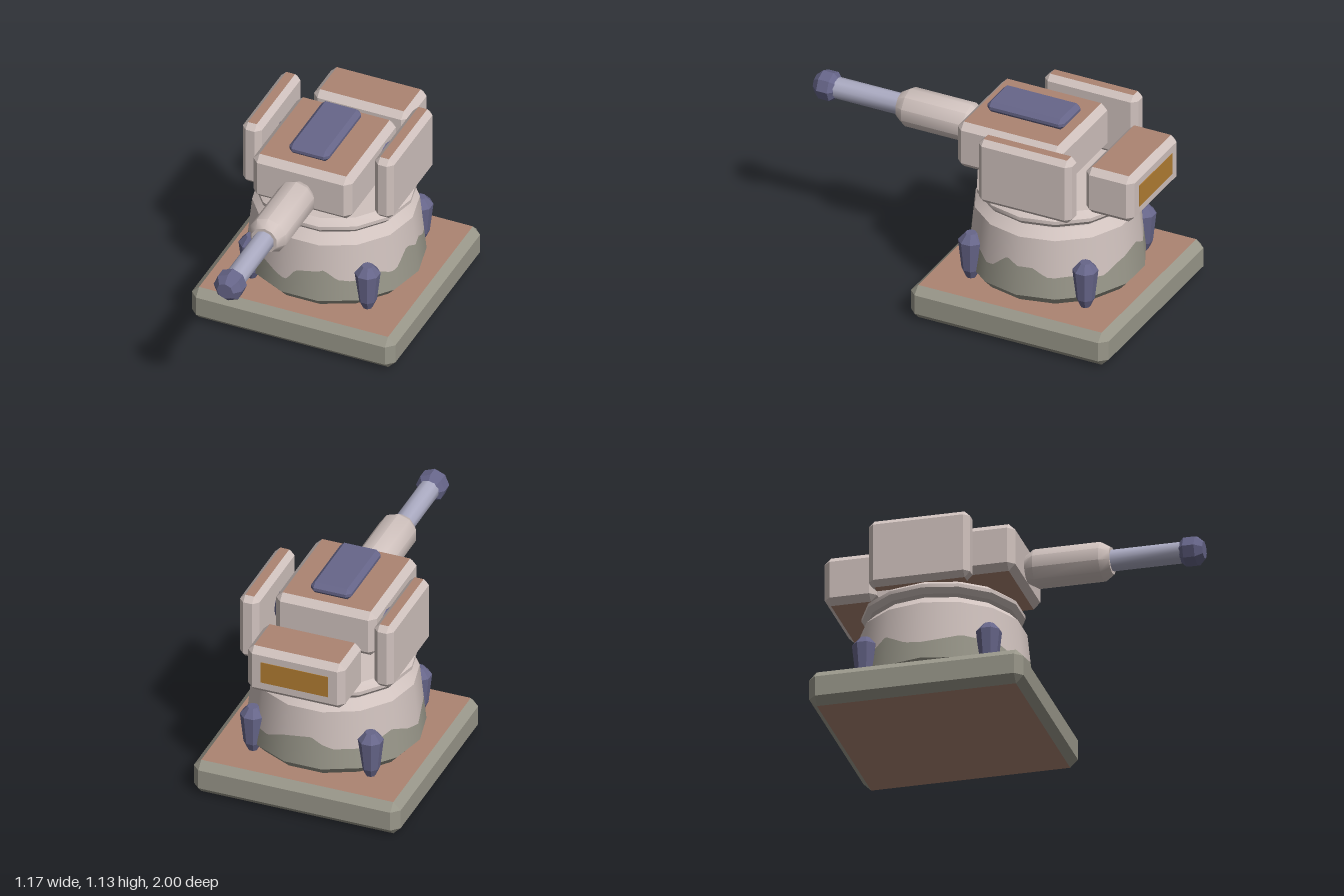
import * as THREE from 'three';
import { toCreasedNormals } from 'three/addons/utils/BufferGeometryUtils.js';
import { ConvexGeometry } from 'three/addons/geometries/ConvexGeometry.js';

const mat = (name, color, side = THREE.FrontSide) => {
  const m = new THREE.MeshStandardMaterial({ color, side });
  m.name = name;
  return m;
};

// Box with all edges chamfered; group 0 is the shell, group 1 the flat top and bottom
function chamferBox(w, h, d, c) {
  const pts = [];
  for (const sx of [-1, 1]) for (const sy of [-1, 1]) for (const sz of [-1, 1]) {
    for (let axis = 0; axis < 3; axis++) {
      const inset = [0, 1, 2].map((k) => (k === axis ? 0 : c));
      pts.push(new THREE.Vector3(
        sx * (w / 2 - inset[0]), sy * (h / 2 - inset[1]), sz * (d / 2 - inset[2])));
    }
  }
  const src = new ConvexGeometry(pts);
  const pos = src.attributes.position, nor = src.attributes.normal;
  const sets = [[], []];
  for (let i = 0; i < pos.count; i += 3) {
    const set = sets[Math.abs(nor.getY(i)) > 0.99 ? 1 : 0];
    for (let j = i; j < i + 3; j++) set.push(pos.getX(j), pos.getY(j), pos.getZ(j));
  }
  const geo = new THREE.BufferGeometry();
  geo.setAttribute('position', new THREE.Float32BufferAttribute([...sets[0], ...sets[1]], 3));
  geo.addGroup(0, sets[0].length / 3, 0);
  geo.addGroup(sets[0].length / 3, sets[1].length / 3, 1);
  geo.computeVertexNormals();
  return geo;
}

// Turned part from [radius, height] pairs
function turned(profile, sides, crease, phase = 0) {
  const pts = profile.map(([r, y]) => new THREE.Vector2(r, y));
  return toCreasedNormals(new THREE.LatheGeometry(pts, sides, phase), crease);
}

// Height of the grime edge round the drum: [degrees from front, y]
const GRIME = [[-90, 0.34], [-62, 0.38], [-33, 0.37], [-19, 0.335], [-10, 0.33], [-4, 0.395],
  [6, 0.41], [16, 0.43], [25, 0.37], [35, 0.36], [48, 0.40], [62, 0.36], [69, 0.36], [81, 0.44],
  [90, 0.41], [100, 0.41], [110, 0.365], [125, 0.37], [150, 0.34], [166, 0.40], [185, 0.42],
  [200, 0.36], [225, 0.36], [243, 0.42], [258, 0.36], [270, 0.34]];
function grimeHeight(theta) {
  let deg = THREE.MathUtils.radToDeg(theta);
  deg = THREE.MathUtils.euclideanModulo(deg + 90, 360) - 90;
  let i = 0;
  while (i < GRIME.length - 2 && GRIME[i + 1][0] < deg) i++;
  const [a, ya] = GRIME[i], [b, yb] = GRIME[i + 1];
  return THREE.MathUtils.lerp(ya, yb, (deg - a) / (b - a));
}

const SIDES = 14;
// Smooth band of a 14-sided drum between two [radius, y] rings, each given per angle
function drumBand(lower, upper) {
  const cols = SIDES * 10, step = (Math.PI * 2) / SIDES;
  const pos = [], nor = [], idx = [];
  for (let i = 0; i <= cols; i++) {
    const t = Math.PI / 2 + (i / cols) * Math.PI * 2;
    const local = ((i % 10) / 10) * step - step / 2;
    const flat = Math.cos(step / 2) / Math.cos(local);
    const [r0, y0] = lower(t), [r1, y1] = upper(t);
    const n = new THREE.Vector3(Math.sin(t) * (y1 - y0), r0 - r1, Math.cos(t) * (y1 - y0)).normalize();
    for (const [r, y] of [[r0, y0], [r1, y1]]) {
      pos.push(Math.sin(t) * r * flat, y, Math.cos(t) * r * flat);
      nor.push(n.x, n.y, n.z);
    }
    if (i < cols) {
      const a = i * 2;
      idx.push(a, a + 2, a + 1, a + 1, a + 2, a + 3);
    }
  }
  const geo = new THREE.BufferGeometry();
  geo.setAttribute('position', new THREE.Float32BufferAttribute(pos, 3));
  geo.setAttribute('normal', new THREE.Float32BufferAttribute(nor, 3));
  geo.setIndex(idx);
  return geo;
}

export function createModel() {
  const model = new THREE.Group();
  model.name = 'turret';
  const plate = mat('pale plate', 0xd0c2be);
  const grime = mat('olive grey', 0x99978a);
  const rust = mat('rust brown', 0xac8472);
  const blue = mat('slate blue', 0x67668a);
  const steel = mat('steel', 0xababc2);
  const amber = mat('amber', 0xb27d32);

  const add = (name, geo, material, x = 0, y = 0, z = 0) => {
    const m = new THREE.Mesh(geo, material);
    m.name = name;
    m.position.set(x, y, z);
    model.add(m);
    return m;
  };
  const CZ = -0.417;

  // Base slab
  add('base', chamferBox(1.17, 0.195, 1.165, 0.042), [grime, rust], 0, 0.0975, CZ);

  // Drum, with a ragged grimy lower part
  const ring = (r, y) => () => [r, y];
  const edge = (t) => {
    const y = grimeHeight(t);
    return [THREE.MathUtils.mapLinear(y, 0.245, 0.58, 0.475, 0.44), y];
  };
  add('drumFoot', drumBand(ring(0.43, 0.195), ring(0.475, 0.245)), grime, 0, 0, CZ);
  add('drumGrime', drumBand(ring(0.475, 0.245), edge), grime, 0, 0, CZ);
  add('drumWall', drumBand(edge, ring(0.44, 0.58)), plate, 0, 0, CZ);
  add('drumShoulder', drumBand(ring(0.44, 0.58), ring(0.39, 0.63)), plate, 0, 0, CZ);
  add('drumTop', drumBand(ring(0.39, 0.63), ring(0, 0.63)), plate, 0, 0, CZ);

  // Floating bearing ring
  add('bearingRing', turned([[0, 0.645], [0.405, 0.645], [0.43, 0.672], [0.43, 0.692],
    [0.39, 0.722], [0, 0.722]], SIDES, 0.5, Math.PI / 2), plate, 0, 0, CZ);

  // Four pylons round the drum
  const pylon = turned([[0, 0.195], [0.027, 0.195], [0.05, 0.245], [0.069, 0.415],
    [0.03, 0.46], [0, 0.46]], 8, 0.15, Math.PI / 8);
  for (const sx of [-1, 1]) for (const sz of [-1, 1]) {
    add('pylon', pylon, blue, sx * 0.333, 0, CZ + sz * 0.337);
  }

  // Head, hatch and cross axle
  add('head', chamferBox(0.57, 0.27, 0.625, 0.036), [plate, rust], 0, 0.932, -0.272);
  add('hatch', chamferBox(0.23, 0.065, 0.455, 0.024), [blue, blue], 0, 1.099, -0.28);
  const axle = add('axle', turned([[0, -0.32], [0.07, -0.32], [0.112, -0.28], [0.112, 0.28],
    [0.07, 0.32], [0, 0.32]], 12, 0.3), blue, 0, 0.904, CZ);
  axle.rotation.z = Math.PI / 2;

  // Side shields
  const shield = chamferBox(0.11, 0.38, 0.55, 0.03);
  for (const s of [-1, 1]) add('sideShield', shield, [plate, rust], s * 0.38, 0.905, -0.438);

  // Rear box with its amber panel
  add('rearBox', chamferBox(0.55, 0.275, 0.284, 0.034), [plate, rust], 0, 0.852, -0.855);
  add('rearPanel', new THREE.BoxGeometry(0.38, 0.125, 0.006), amber, 0, 0.852, -0.997);

  // Gun
  const gun = (name, profile, sides, crease, material, phase) => {
    add(name, turned(profile, sides, crease, phase), material, 0, 0.908, 0).rotation.x = Math.PI / 2;
  };
  gun('barrelSleeve', [[0, 0.03], [0.07, 0.03], [0.107, 0.09], [0.107, 0.45], [0.075, 0.5], [0, 0.5]],
    10, 0.66, plate, 0);
  gun('barrel', [[0, 0.48], [0.058, 0.48], [0.058, 0.9], [0, 0.9]], 10, 0.66, steel, 0);
  gun('muzzle', [[0, 0.875], [0.058, 0.875], [0.082, 0.9], [0.082, 0.962], [0.047, 1], [0, 1]],
    8, 0.3, blue, 0);

  return model;
}
